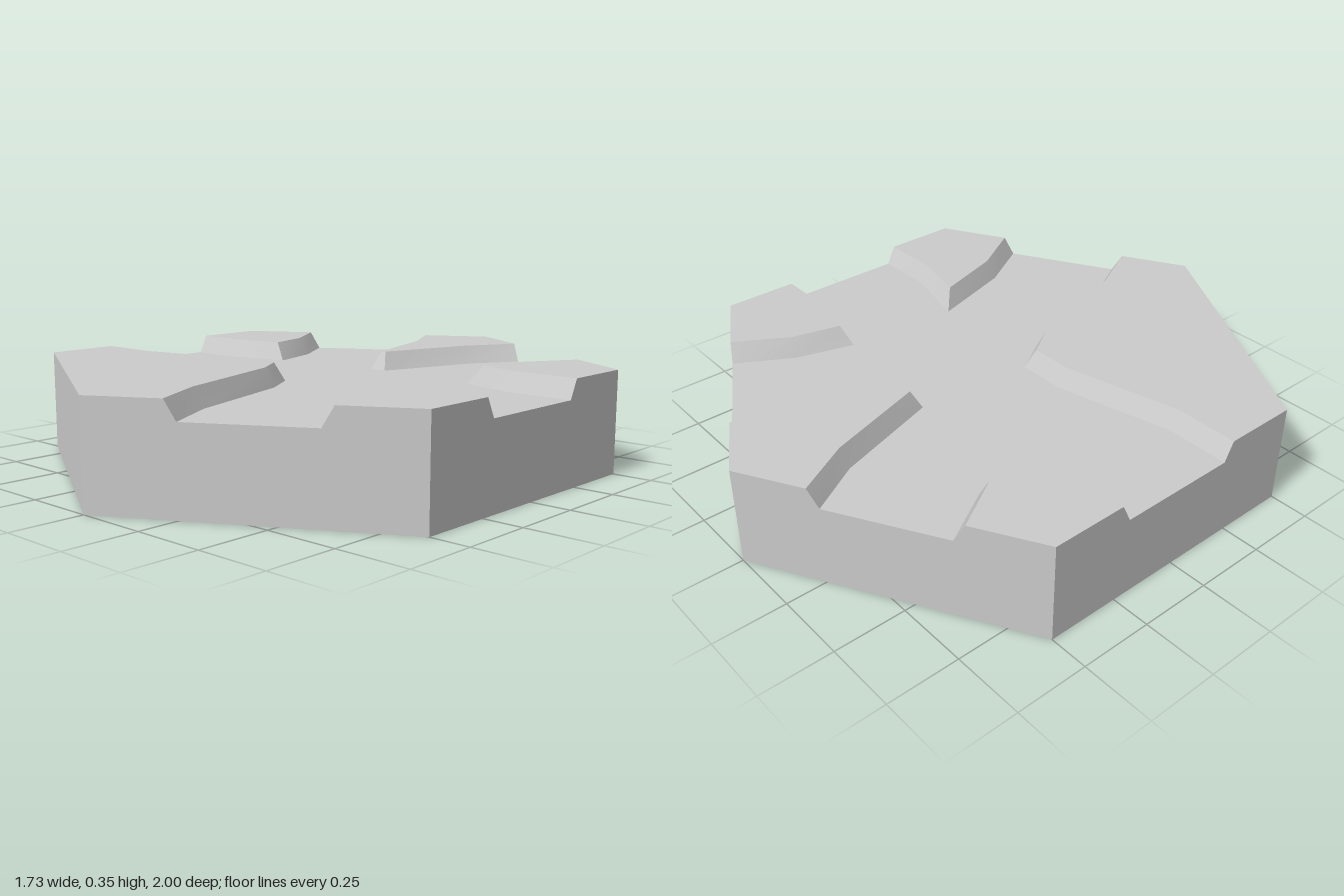
import * as THREE from 'three';
import { toCreasedNormals } from 'three/addons/utils/BufferGeometryUtils.js';

const FLOOR = 0.285, TOP = 0.35, W = 0.866;
const material = new THREE.MeshStandardMaterial({ color: 0xcccccc });

// Raised plateaus, counterclockwise from above. Points are [x, z]:
// foot = crease on the road floor, rim = plateau edge, corners = hexagon corners held
const front = {
  name: 'frontPlateau',
  corners: [[-W, 0.5], [0, 1]],
  foot: [[-W, 0.208], [-0.645, 0.208], [-0.233, 0.108], [-0.064, 0.108], [0.016, 0.241], [0.148, 0.665], [0.25, 0.856]],
  rim: [[-W, 0.24], [-0.645, 0.24], [-0.233, 0.141], [-0.085, 0.141], [-0.016, 0.252], [0.116, 0.68], [0.217, 0.875]],
};
const frontLeft = {
  name: 'frontLeftPlateau',
  corners: [[W, 0.5]],
  foot: [[0.608, 0.649], [0.497, 0.455], [0.407, 0.149], [0.648, 0.208], [W, 0.208]],
  rim: [[0.64, 0.63], [0.53, 0.443], [0.455, 0.196], [0.648, 0.24], [W, 0.24]],
};
const backLeft = {
  name: 'backLeftPlateau',
  corners: [[W, -0.5]],
  foot: [[W, -0.208], [0.645, -0.208], [0.439, -0.258], [0.497, -0.46], [0.608, -0.649]],
  rim: [[W, -0.24], [0.648, -0.24], [0.487, -0.279], [0.53, -0.448], [0.64, -0.63]],
};
const back = {
  name: 'backPlateau',
  corners: [[0, -1]],
  foot: [[0.25, -0.856], [0.148, -0.68], [0.032, -0.311], [-0.032, -0.311], [-0.148, -0.68], [-0.25, -0.856]],
  rim: [[0.217, -0.875], [0.116, -0.69], [0.009, -0.343], [-0.009, -0.343], [-0.116, -0.69], [-0.217, -0.875]],
};
const mirror = (pts) => pts.map(([x, z]) => [-x, z]).reverse();
const backRight = {
  name: 'backRightPlateau',
  corners: mirror(backLeft.corners),
  foot: mirror(backLeft.foot),
  rim: mirror(backLeft.rim),
};
const plateaus = [front, frontLeft, backLeft, back, backRight];

const at = (pts, y) => pts.map(([x, z]) => [x, y, z]);

// Flat horizontal face from an outline
function cap(pts, y, down = false) {
  const shape = new THREE.Shape(pts.map(([x, z]) => new THREE.Vector2(x, down ? z : -z)));
  return new THREE.ShapeGeometry(shape).rotateX(down ? Math.PI / 2 : -Math.PI / 2).translate(0, y, 0);
}

// Wall between two matching paths
function strip(lower, upper, crease) {
  const geometry = new THREE.BufferGeometry();
  geometry.setAttribute('position', new THREE.Float32BufferAttribute([...lower, ...upper].flat(), 3));
  const n = lower.length, index = [];
  for (let i = 0; i < n - 1; i++) index.push(i, i + 1, n + i + 1, i, n + i + 1, n + i);
  geometry.setIndex(index);
  return toCreasedNormals(geometry, crease);
}

export function createModel() {
  const model = new THREE.Group();
  model.name = 'hexTile';
  const add = (parent, name, geometry) => {
    const mesh = new THREE.Mesh(geometry, material);
    mesh.name = name;
    parent.add(mesh);
  };

  // Base and road floor
  add(model, 'base', cap(plateaus.flatMap((p) => p.corners), 0, true));
  add(model, 'roadFloor', cap(plateaus.flatMap((p) => p.foot), FLOOR));

  // Plateau tops with sloped banks
  for (const p of plateaus) {
    const group = new THREE.Group();
    group.name = p.name;
    add(group, 'plateauTop', cap([...p.rim, ...[...p.corners].reverse()], TOP));
    add(group, 'bank', strip(at(p.foot, FLOOR).reverse(), at(p.rim, TOP).reverse(), 0.7));
    model.add(group);
  }

  // Outer walls, notched where the roads leave the tile
  const ring = plateaus.flatMap((p) => [
    ...at([p.foot[0]], FLOOR),
    ...at([p.rim[0], ...p.corners, p.rim.at(-1)], TOP),
    ...at([p.foot.at(-1)], FLOOR),
  ]);
  ring.push(ring[0]);
  add(model, 'outerWalls', strip(ring.map(([x, , z]) => [x, 0, z]), ring, 0.5));
  return model;
}
